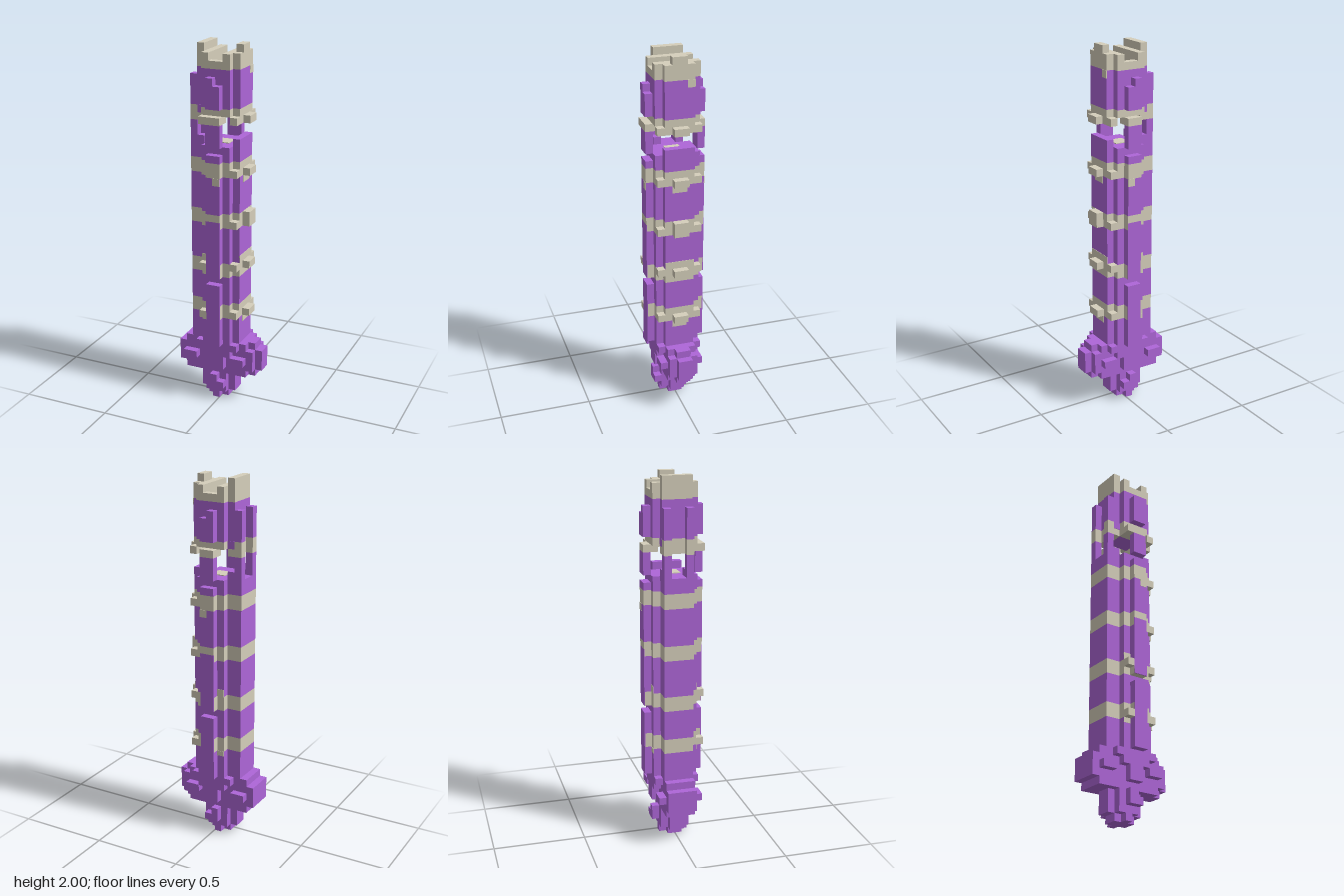
import * as THREE from 'three';

const U = 0.04; // one block

export function createModel() {
  const model = new THREE.Group();
  model.name = 'tower';
  const purple = new THREE.MeshStandardMaterial({ name: 'purple', color: 0xae66d8 });
  const stone = new THREE.MeshStandardMaterial({ name: 'stone', color: 0xd5cfbb });

  // Box from block coordinates
  const box = (name, mat, x0, x1, y0, y1, z0, z1) => {
    const m = new THREE.Mesh(new THREE.BoxGeometry((x1 - x0) * U, (y1 - y0) * U, (z1 - z0) * U), mat);
    m.position.set((x0 + x1) * U / 2, (y0 + y1) * U / 2, (z0 + z1) * U / 2);
    m.name = name;
    model.add(m);
  };
  // Same box on the front and the back
  const pair = (name, mat, x0, x1, y0, y1, z0, z1) => {
    box(name, mat, x0, x1, y0, y1, z0, z1);
    box(name, mat, x0, x1, y0, y1, -z1, -z0);
  };
  // Rounded shaft section made of two crossed boxes
  const core = (name, mat, y0, y1, xMin = -3) => {
    box(name, mat, -2, 2, y0, y1, -3, 3);
    box(name, mat, xMin, 3, y0, y1, -2, 2);
  };

  // Pointed foot
  box('footTip', purple, -2, 1, 0, 1, -1, 1);
  box('footTip', purple, -1, 0, 0, 1, -2, 2);
  box('foot', purple, -3, 2, 1, 4, -1, 1);
  box('foot', purple, -2, 1, 1, 4, -2, 2);
  pair('footNub', purple, -1, 0, 2, 4, 2, 3);
  pair('footNub', purple, 0, 1, 2, 3, 2, 3);

  // Wide base
  box('base', purple, -5, 4, 4, 9, -2, 2);
  box('baseLeftStep', purple, 4, 5, 5, 8, -2, 2);
  box('baseLeftStep', purple, 4, 5, 4, 9, -1, 1);
  box('baseRightEnd', purple, -6, -5, 5, 8, -2, 2);
  box('baseLeftEnd', purple, 5, 6, 5, 8, -1, 1);
  pair('baseNub', purple, -5, -3, 6, 7, 2, 3);
  pair('baseNub', purple, 2, 4, 6, 7, 2, 3);
  pair('baseBracket', purple, -1, 1, 5, 9, 2, 3);
  pair('baseBracket', purple, -2, 2, 7, 9, 2, 3);
  pair('baseBracket', purple, -3, 3, 8, 9, 2, 3);

  // Shaft, alternating purple walls and stone bands
  const bands = [[13, 15], [19, 21], [26, 28], [33, 35]];
  let y = 9;
  for (const [b0, b1] of [...bands, [37, 37]]) {
    core('shaft', purple, y, b0, -4);
    if (b1 > b0) core('band', stone, b0, b1, -4);
    y = b1;
  }

  // Central ribs on front and back, broken by short gaps
  for (const [r0, r1] of [[9, 13], [15, 18], [21, 26], [28, 33], [35, 36], [37, 40]]) {
    pair('centralRib', purple, -1, 1, r0, r1, 3, 4);
  }
  bands.forEach(([b0, b1], i) => {
    pair('ribBand', stone, -1, 1, b0, b1, 3, 3.9);
    const top = i === 3 ? b0 : i === 2 ? b0 + 1 : b1;
    if (top > b0) pair('ribFace', purple, -1, 1, b0, top, 3.9, 4);
    if (top < b1) pair('ribFaceStone', stone, -1, 1, top, b1, 3.9, 4);
  });

  // Knobs and corner blocks on the bands
  for (const [k0, k1] of [[13, 14], [20, 21], [26, 28], [33, 34], [40, 41]]) {
    box('bandKnob', stone, 3, 4, k0, k1, -1, 1);
    pair('bandCorner', stone, 2, 3, k0, k0 + 1, 2, 3);
  }
  box('frontKnob', stone, -2, -1, 13, 14, 3, 4);
  box('frontKnob', stone, -2, -1, 20, 21, 3, 4);

  // Thin stone patches running past the band edges
  const patchX = (y0, y1, z0, z1) => box('stonePatch', stone, 2.95, 3.05, y0, y1, z0, z1);
  patchX(12, 13, -1, 1);
  patchX(21, 22, -2, 2);
  patchX(32, 33, -1, 1);
  patchX(46, 47, -2, -1);
  pair('stonePatch', stone, -2, -1, 12.3, 13, 2.95, 3.05);
  pair('stonePatch', stone, -2, -1, 21, 22, 2.95, 3.05);
  pair('stonePatch', stone, 0, 1, 32, 33, 3.95, 4.05);

  // Open belfry: floor patch, low parapet and posts
  box('belfryFloor', stone, -1, 1, 37, 37.1, -1, 1);
  pair('parapet', purple, -3, -2, 37, 38, 1, 2);
  box('parapet', purple, 2, 3, 37, 38, -2, 2);
  pair('belfryPost', purple, -4, -3, 37, 40, 1, 2);

  // Stone ring above the openings, with a purple ceiling
  box('ringSide', stone, -3, -2, 40, 41, -2, 2);
  box('ringSide', stone, 2, 3, 40, 41, -2, 2);
  box('ringFront', stone, -2, 1, 40, 41, 2, 4);
  box('ringBack', stone, -1, 1, 40, 41, -4, -2);
  core('ring', stone, 41, 42);
  pair('ringRib', stone, -4, -3, 40, 42, 1, 2);
  box('ceiling', purple, -2, 2, 40.9, 41, -2, 2);
  pair('purplePatch', purple, -3, -2, 41, 42, 1.95, 2.05);

  // Upper room
  core('upperWall', purple, 42, 47);
  pair('upperRib', purple, -4, -3, 42, 46, 1, 2);
  pair('upperCentralRib', purple, -1, 0, 42, 46, 3, 4);
  pair('upperCentralRib', purple, 0, 1, 42, 45, 3, 4);

  // Crown with battlements around a sunken roof
  pair('crownWall', stone, -1, 1, 47, 48, 2, 3);
  box('crownInner', stone, -2, -1, 47, 49, -3, 3);
  box('crownInner', stone, 1, 2, 47, 49, -3, 3);
  box('crownRight', stone, -3, -2, 47, 50, -2, 2);
  box('crownLeft', stone, 2, 3, 47, 49, -2, 2);
  box('crownMerlon', stone, 2, 3, 49, 50, -1, 1);

  return model;
}
